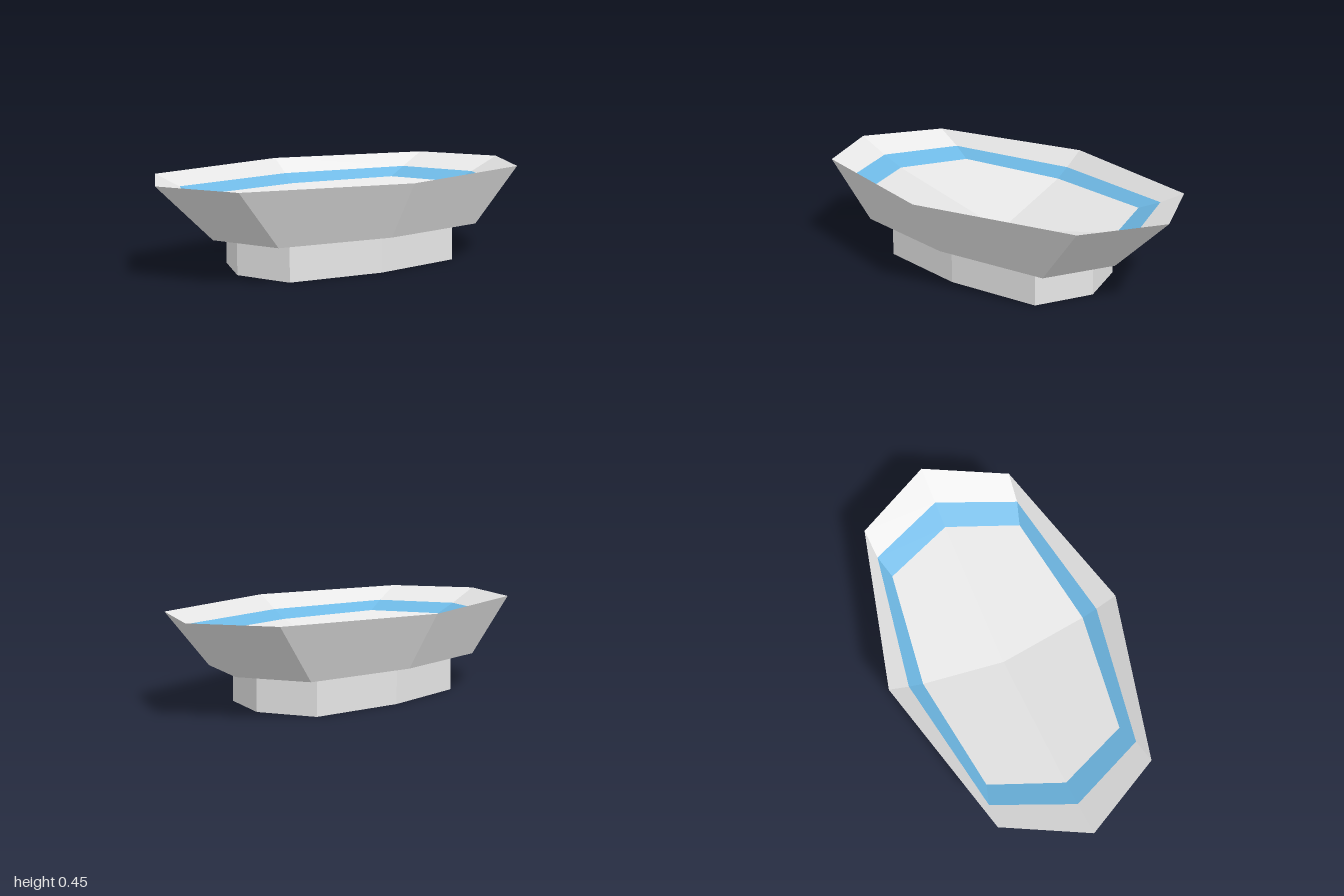
import * as THREE from 'three';

// Eight-sided ring: end point x, corner (cx, cz), side point z, at height y
function ring(x, cx, cz, z, y) {
  return [[x, 0], [cx, cz], [0, z], [-cx, cz], [-x, 0], [-cx, -cz], [0, -z], [cx, -cz]]
    .map(([px, pz]) => new THREE.Vector3(px, y, pz));
}

// Polygons with one flat normal each, split as fans from their first corner
function polyMesh(name, polygons, material) {
  const positions = [], normals = [];
  for (const p of polygons) {
    const n = new THREE.Vector3();
    p.forEach((a, i) => n.add(a.clone().cross(p[(i + 1) % p.length])));
    n.normalize();
    for (let i = 1; i < p.length - 1; i++) {
      for (const v of [p[0], p[i], p[i + 1]]) {
        positions.push(v.x, v.y, v.z);
        normals.push(n.x, n.y, n.z);
      }
    }
  }
  const geometry = new THREE.BufferGeometry();
  geometry.setAttribute('position', new THREE.Float32BufferAttribute(positions, 3));
  geometry.setAttribute('normal', new THREE.Float32BufferAttribute(normals, 3));
  const mesh = new THREE.Mesh(geometry, material);
  mesh.name = name;
  return mesh;
}

// Band of quads from ring a to ring b
function band(a, b) {
  return a.map((v, i) => {
    const j = (i + 1) % a.length;
    return [v, b[i], b[j], a[j]];
  });
}

export function createModel() {
  const grey = new THREE.MeshStandardMaterial({ color: 0xe6e6e6 });
  grey.name = 'light grey';
  const blue = new THREE.MeshStandardMaterial({ color: 0x6eb8e4 });
  blue.name = 'sky blue';

  const rim = ring(1, 0.8, 0.383, 0.583, 0.45);
  const stripeTop = ring(0.835, 0.675, 0.372, 0.487, 0.381);
  const stripeBottom = ring(0.712, 0.572, 0.34, 0.417, 0.337);
  const bowlBase = ring(0.71, 0.572, 0.34, 0.417, 0.178);
  const footTop = ring(0.583, 0.475, 0.28, 0.34, 0.168);
  const footBottom = ring(0.583, 0.475, 0.28, 0.34, 0);
  const recess = ring(0.48, 0.39, 0.23, 0.28, 0.097);
  const centre = new THREE.Vector3(0, 0.175, 0);

  // Floor in four quarters sinking to the centre
  const floor = [0, 2, 4, 6].map(i =>
    [centre, stripeBottom[(i + 2) % 8], stripeBottom[i + 1], stripeBottom[i]]);

  const group = new THREE.Group();
  group.name = 'dish';
  group.add(
    polyMesh('bowlOutside', band(bowlBase, rim), grey),
    polyMesh('bowlUnderside', band(footTop, bowlBase), grey),
    polyMesh('bowlInnerRim', band(rim, stripeTop), grey),
    polyMesh('bowlStripe', band(stripeTop, stripeBottom), blue),
    polyMesh('bowlFloor', floor, grey),
    polyMesh('foot', band(footBottom, footTop), grey),
    polyMesh('footRecessWall', band(recess, footBottom), grey),
    polyMesh('footRecessCeiling', [recess], grey),
  );
  return group;
}
